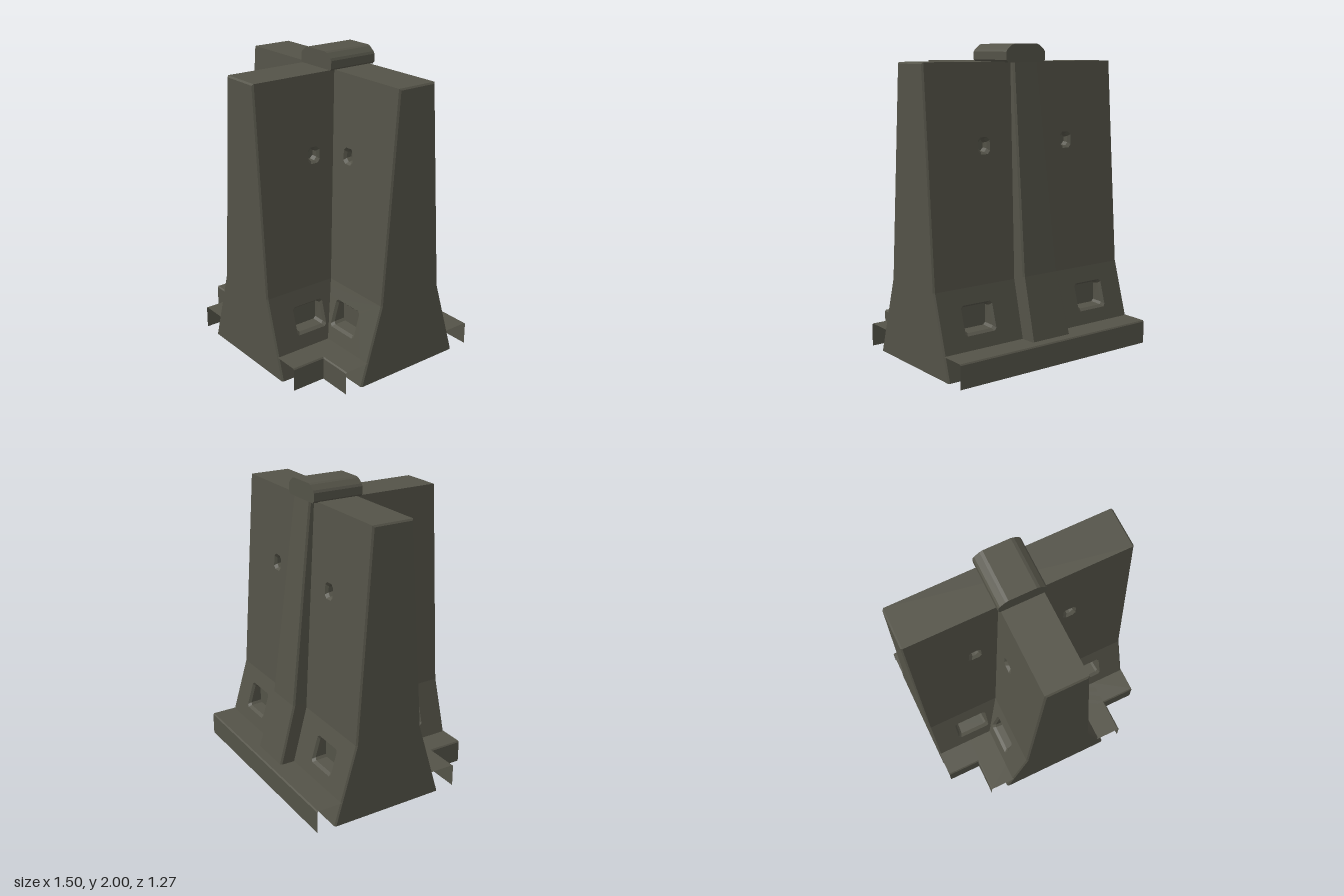
import * as THREE from 'three';
import { mergeGeometries } from 'three/addons/utils/BufferGeometryUtils.js';

const concrete = new THREE.MeshStandardMaterial({ color: 0x545348, side: THREE.DoubleSide });
concrete.name = 'olive concrete';

const H = 1.89, BEND = 0.52, END = 0.75, BEVEL = 0.01;

// half thickness of a wall at height y
function halfWidth(y) {
  return y < BEND ? 0.395 + (0.24 - 0.395) * y / BEND
    : 0.24 + (0.14 - 0.24) * (y - BEND) / (H - BEND);
}

// flat-shaded surface through rings of equal point count
function loft(rings, { closed = true, cap = false } = {}) {
  const v = [];
  const tri = (...pts) => pts.forEach(p => v.push(...p));
  for (let r = 0; r + 1 < rings.length; r++) {
    const a = rings[r], b = rings[r + 1], n = a.length;
    for (let i = 0; i < (closed ? n : n - 1); i++) {
      const j = (i + 1) % n;
      tri(a[i], a[j], b[i]);
      tri(a[j], b[j], b[i]);
    }
  }
  if (cap) {
    const c = rings[rings.length - 1];
    for (let i = 1; i + 1 < c.length; i++) tri(c[0], c[i], c[i + 1]);
  }
  const g = new THREE.BufferGeometry();
  g.setAttribute('position', new THREE.Float32BufferAttribute(v, 3));
  g.computeVertexNormals();
  return g;
}

function mesh(name, geometry) {
  const m = new THREE.Mesh(geometry, concrete);
  m.name = name;
  return m;
}

// rectangle with cut corners, counter-clockwise
function outline(p, inset) {
  const w = p.w / 2 - inset, h = p.h / 2 - inset, c = p.corner;
  return [[-w + c, -h], [w - c, -h], [w, -h + c], [w, h - c],
    [w - c, h], [-w + c, h], [-w, h - c], [-w, -h + c]].map(([x, y]) => [p.u + x, p.y + y]);
}

// one sloped face in two bands, with its recesses
function sideFace(u0, u1, pockets) {
  const parts = [];
  for (const [y0, y1] of [[0, BEND], [BEND, H]]) {
    const shape = new THREE.Shape([[u0, y0], [u1, y0], [u1, y1], [u0, y1]].map(p => new THREE.Vector2(...p)));
    for (const p of pockets.filter(q => q.y > y0 && q.y < y1)) {
      shape.holes.push(new THREE.Path(outline(p, 0).map(q => new THREE.Vector2(...q))));
      const floor = halfWidth(p.y - p.h / 2) - p.depth;
      parts.push(loft([
        outline(p, 0).map(([u, y]) => [u, y, halfWidth(y)]),
        outline(p, 0.013).map(([u, y]) => [u, y, halfWidth(y) - 0.018]),
        outline(p, 0.018).map(([u, y]) => [u, y, floor])
      ], { cap: true }));
    }
    const g = new THREE.ShapeGeometry(shape).toNonIndexed();
    const pos = g.attributes.position;
    for (let i = 0; i < pos.count; i++) pos.setZ(i, halfWidth(pos.getY(i)));
    g.deleteAttribute('uv');
    g.computeVertexNormals();
    parts.push(g);
  }
  return mergeGeometries(parts);
}

// bevelled wall end at +x
function endFace() {
  const ring = (u, d) => [[0.24 - d, BEND], [0.395 - d, 0], [-0.395 + d, 0],
    [-0.24 + d, BEND], [-0.14 + d, H - d], [0.14 - d, H - d]].map(([n, y]) => [u, y, n]);
  return loft([ring(END - BEVEL, 0), ring(END, BEVEL)], { cap: true });
}

// a tapered wall along x from start to END, with its folded foot plate
function barrier(name, start) {
  const g = new THREE.Group();
  g.name = name;
  const openStart = start > -END;
  const u0 = openStart ? start : -END + BEVEL, u1 = END - BEVEL;
  const pockets = [];
  for (const s of openStart ? [1] : [-1, 1]) {
    pockets.push({ u: s * 0.458, y: 0.33, w: 0.235, h: 0.18, corner: 0.015, depth: 0.1 });
    pockets.push({ u: s * 0.33, y: 1.378, w: 0.09, h: 0.106, corner: 0.02, depth: 0.055 });
  }
  g.add(mesh('frontFace', sideFace(u0, u1, pockets)));
  const mirrored = pockets.map(p => ({ ...p, u: -p.u }));
  g.add(mesh('backFace', sideFace(-u1, -u0, mirrored).rotateY(Math.PI)));
  g.add(mesh('topFace', loft([
    [[u0, H, 0.14], [u1, H, 0.14]], [[u0, H, -0.14], [u1, H, -0.14]]
  ], { closed: false })));
  g.add(mesh('endFace', endFace()));
  if (!openStart) g.add(mesh('otherEndFace', endFace().rotateY(Math.PI)));

  // foot plate: a thin channel with a flap down each long side
  const section = u => [[0.52, 0], [0.52, 0.147], [0.512, 0.155],
    [-0.512, 0.155], [-0.52, 0.147], [-0.52, 0]].map(([n, y]) => [u, y, n]);
  g.add(mesh('footPlate', loft([section(start), section(END)], { closed: false })));
  return g;
}

export function createModel() {
  const model = new THREE.Group();
  model.name = 'concreteBarrier';
  const core = new THREE.Group();
  core.name = 'barrierBody';
  core.position.z = -0.116;
  model.add(core);

  // cross wall and the wall projecting forward from it
  core.add(barrier('crossWall', -END));
  const stem = barrier('forwardWall', 0);
  stem.rotation.y = -Math.PI / 2;
  core.add(stem);

  // tapered rib up the back
  const levels = [[0, -0.61, 0.15], [0.55, -0.45, 0.128], [H, -0.288, 0.088]];
  model.add(mesh('backRib', loft(levels.map(([y, z, w]) => [
    [w + 0.012, y, z + 0.17], [w + 0.01, y, z + 0.012], [w, y, z],
    [-w, y, z], [-w - 0.01, y, z + 0.012], [-w - 0.012, y, z + 0.17]
  ]), { closed: false })));

  // chamfered cap over the joint
  const capShape = new THREE.Shape([[-0.14, 1.885], [0.14, 1.885], [0.155, 1.9], [0.155, 1.95], [0.145, 1.965],
    [0.11, 1.993], [0.09, 2], [-0.09, 2], [-0.11, 1.993], [-0.145, 1.965], [-0.155, 1.95], [-0.155, 1.9]]
    .map(p => new THREE.Vector2(...p)));
  const cap = new THREE.ExtrudeGeometry(capShape, { depth: 0.35, bevelEnabled: false });
  cap.translate(0, 0, -0.29);
  model.add(mesh('jointCap', cap));

  return model;
}
